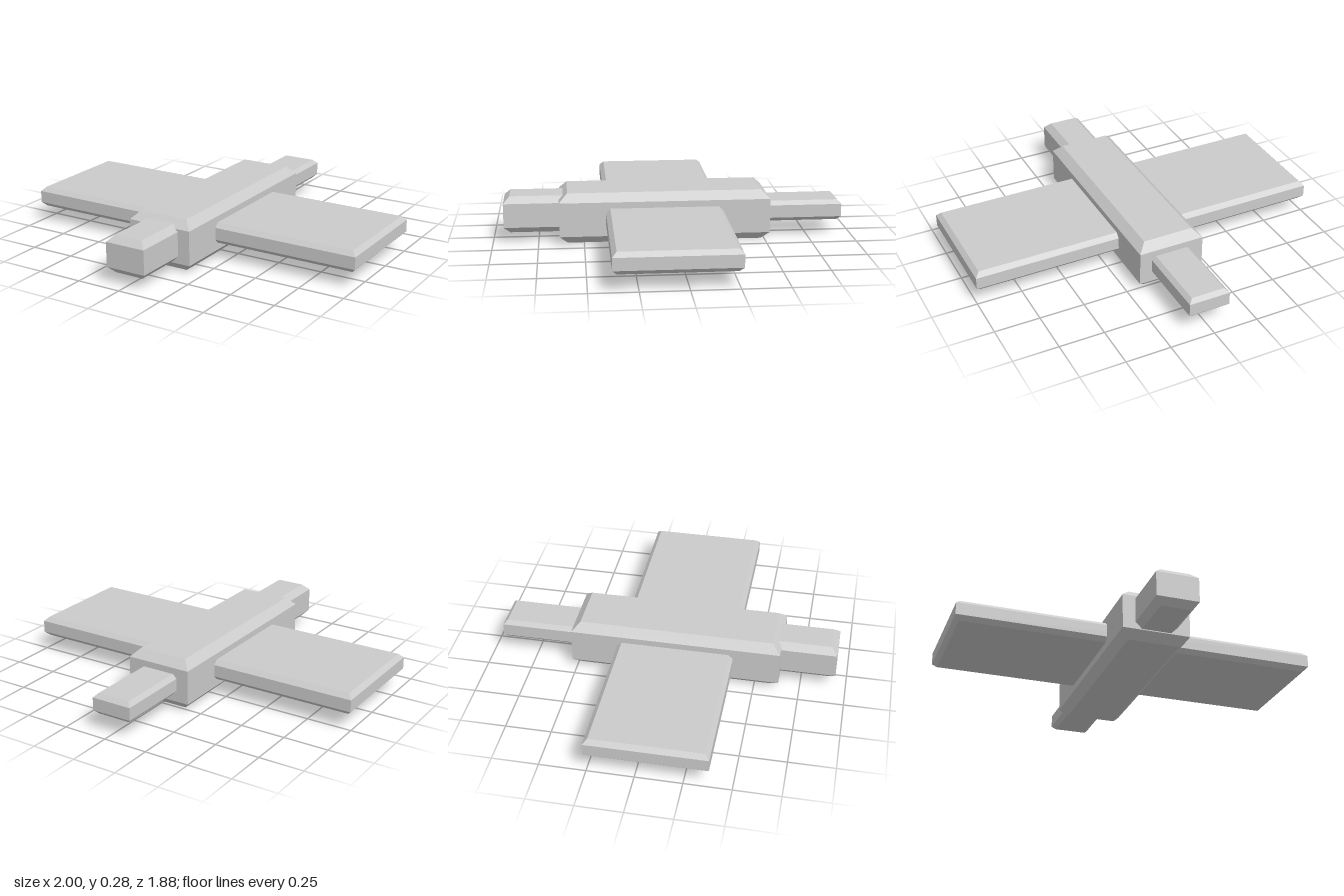
import * as THREE from 'three';

const material = new THREE.MeshStandardMaterial({ color: 0xcccccc, flatShading: true });

// Box whose top and bottom rims are chamfered by c; the upright corners stay sharp.
function chamferedBox(name, [x0, x1], [y0, y1], [z0, z1], c) {
  const w = x1 - x0, h = y1 - y0, d = z1 - z0;
  const box = new THREE.BoxGeometry(w, h, d, 1, 3, 1);
  const p = box.attributes.position;
  for (let i = 0; i < p.count; i++) {
    const y = p.getY(i);
    if (Math.abs(y) > h * 0.4) {
      // rim rows move inwards
      p.setX(i, Math.sign(p.getX(i)) * (w / 2 - c));
      p.setZ(i, Math.sign(p.getZ(i)) * (d / 2 - c));
    } else {
      // middle rows mark where the chamfer starts
      p.setY(i, Math.sign(y) * (h / 2 - c));
    }
  }
  const geometry = box.toNonIndexed();
  geometry.computeVertexNormals();
  const mesh = new THREE.Mesh(geometry, material);
  mesh.name = name;
  mesh.position.set((x0 + x1) / 2, (y0 + y1) / 2, (z0 + z1) / 2);
  return mesh;
}

export function createModel() {
  const model = new THREE.Group();
  model.name = 'plane';
  model.add(
    chamferedBox('fuselage', [-0.185, 0.185], [0, 0.28], [-0.525, 0.635], 0.045),
    chamferedBox('nose', [-0.115, 0.115], [0.05, 0.255], [0.4, 0.94], 0.035),
    chamferedBox('tail', [-0.115, 0.115], [0.085, 0.2], [-0.94, -0.4], 0.022),
    // one slab runs through the fuselage and forms both wings
    chamferedBox('wings', [-1, 1], [0.085, 0.2], [-0.265, 0.38], 0.024),
  );
  return model;
}
